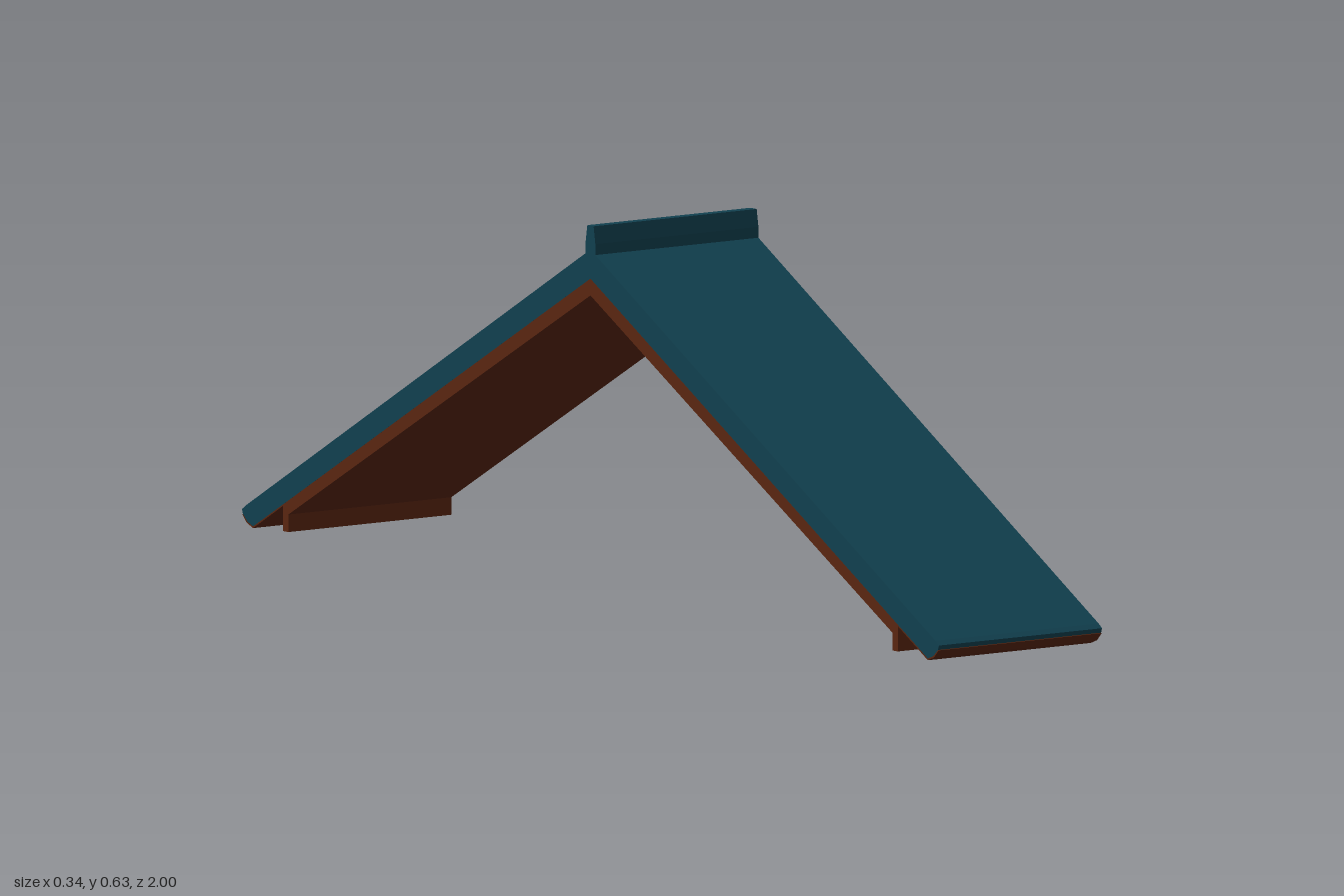
import * as THREE from 'three';

const WIDTH = 0.345;

export function createModel() {
  const model = new THREE.Group();
  model.name = 'roofSection';
  const teal = new THREE.MeshStandardMaterial({ color: 0x11404f });
  teal.name = 'teal roofing';
  const brown = new THREE.MeshStandardMaterial({ color: 0x5a2611 });
  brown.name = 'brown timber';

  // Extrudes a (z, y) outline across the width of the roof.
  function prism(name, points, material, side = 1) {
    const shape = new THREE.Shape(points.map(([z, y]) => new THREE.Vector2(z * side, y)));
    const geometry = new THREE.ExtrudeGeometry(shape, { depth: WIDTH, bevelEnabled: false });
    geometry.translate(0, 0, -WIDTH / 2);
    geometry.rotateY(-Math.PI / 2);
    const mesh = new THREE.Mesh(geometry, material);
    mesh.name = name;
    model.add(mesh);
  }

  for (const [label, side] of [['front', 1], ['back', -1]]) {
    // Sloping slab with a blunted eave
    prism(label + 'RoofSlab', [
      [0, 0.593], [0.99, 0.036], [1, 0.029], [0.997, 0.021],
      [0.984, 0.009], [0.968, 0.003], [0, 0.543],
    ], teal, side);

    // Timber lining below the slab
    prism(label + 'Lining', [
      [0, 0.543], [0.88, 0.052], [0.88, 0.028], [0, 0.514],
    ], brown, side);

    // Thin soffit that wraps the lower lip of the eave
    prism(label + 'Soffit', [
      [0.88, 0.0525], [0.968, 0.003], [0.984, 0.009], [0.997, 0.021],
      [0.999, 0.0205], [0.986, 0.007], [0.968, 0], [0.88, 0.0495],
    ], brown, side);

    // Upright board hanging near the eave
    prism(label + 'EaveBoard', [
      [0.867, 0.055], [0.882, 0.051], [0.882, 0.005], [0.867, 0.005],
    ], brown, side);
  }

  // Tapered ridge cap
  prism('ridgeCap', [
    [-0.014, 0.58], [0.014, 0.58], [0.014, 0.604], [0.009, 0.634],
    [-0.009, 0.634], [-0.014, 0.604],
  ], teal);

  return model;
}
